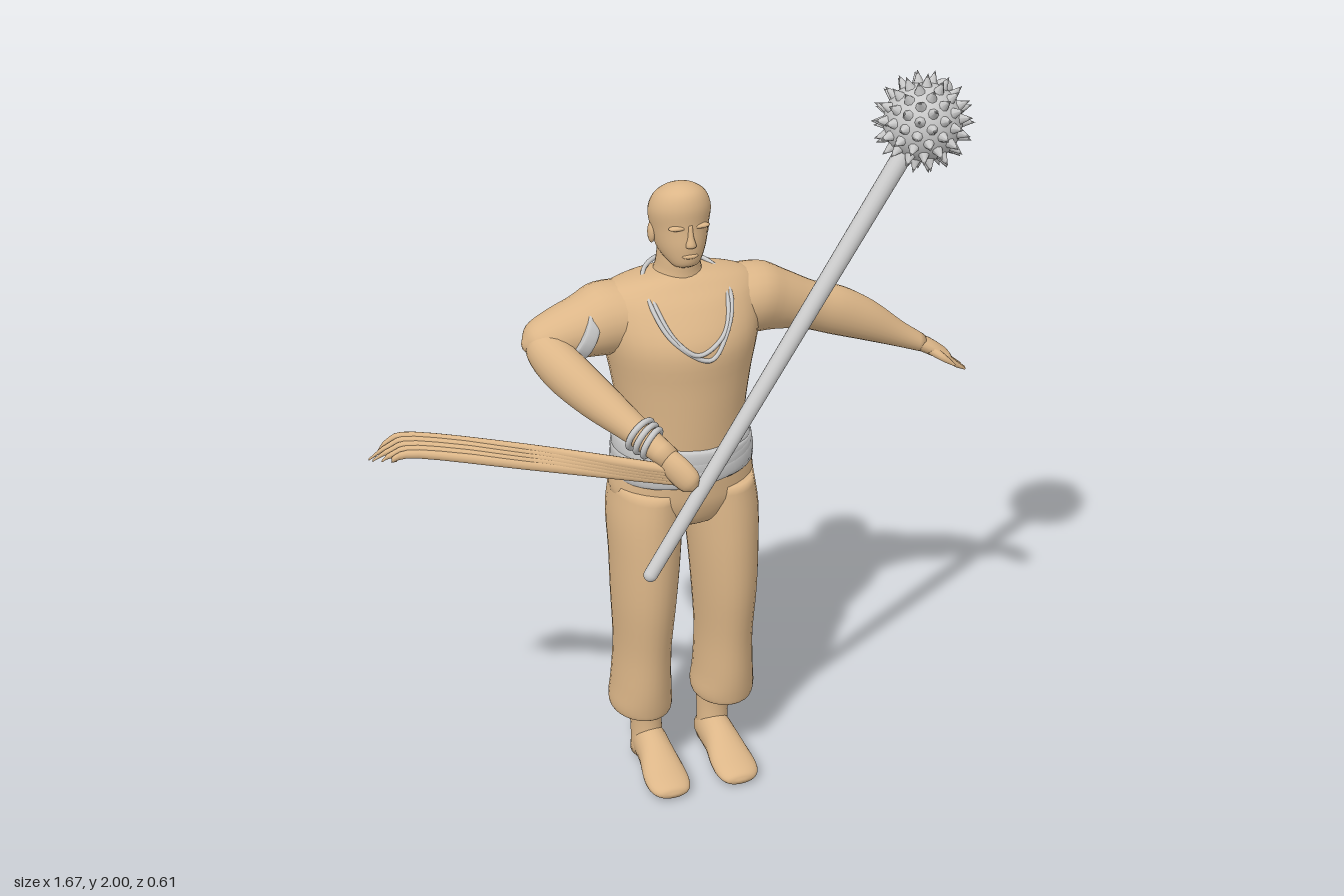
import * as THREE from 'three';

const skin = new THREE.MeshStandardMaterial({ color: 0xdcb688 });
skin.name = 'tan';
const grey = new THREE.MeshStandardMaterial({ color: 0xcacaca });
grey.name = 'pale grey';
const V = (x, y, z) => new THREE.Vector3(x, y, z);

// Smooth closed skin through elliptical rings [x, y, z, a, b];
// a is the half size along the hint axis, b the one across it.
function loft(rings, hint = V(0, 0, 1), seg = 24, sub = 4) {
  const mid = new THREE.CatmullRomCurve3(rings.map(r => V(r[0], r[1], r[2])), false, 'catmullrom');
  const size = new THREE.CatmullRomCurve3(rings.map(r => V(r[3], r[4], 0)), false, 'catmullrom');
  const W = mid.points.at(-1).clone().sub(mid.points[0]).normalize();
  const U = hint.clone().addScaledVector(W, -hint.dot(W)).normalize();
  const X = W.clone().cross(U);
  const pos = [], idx = [], n = (rings.length - 1) * sub;
  for (let i = 0; i <= n; i++) {
    const c = mid.getPoint(i / n), s = size.getPoint(i / n);
    for (let j = 0; j < seg; j++) {
      const t = j / seg * Math.PI * 2;
      const p = c.clone().addScaledVector(U, Math.max(s.x, 0.001) * Math.cos(t))
        .addScaledVector(X, Math.max(s.y, 0.001) * Math.sin(t));
      pos.push(p.x, p.y, p.z);
      if (i < n) {
        const k = (j + 1) % seg, a = i * seg + j, b = i * seg + k;
        idx.push(a, b, b + seg, a, b + seg, a + seg);
      }
    }
  }
  // End caps
  const first = mid.points[0], last = mid.points.at(-1), c0 = (n + 1) * seg;
  pos.push(first.x, first.y, first.z, last.x, last.y, last.z);
  for (let j = 0; j < seg; j++) {
    const k = (j + 1) % seg;
    idx.push(c0, k, j, c0 + 1, n * seg + j, n * seg + k);
  }
  const g = new THREE.BufferGeometry();
  g.setAttribute('position', new THREE.Float32BufferAttribute(pos, 3));
  g.setIndex(idx);
  g.computeVertexNormals();
  return g;
}

export function createModel() {
  const root = new THREE.Group();
  root.name = 'maceFighter';
  const add = (name, geo, mat = skin, parent = root) => {
    const m = new THREE.Mesh(geo, mat);
    m.name = name;
    parent.add(m);
    return m;
  };
  const blob = (name, x, y, z, sx, sy, sz) => {
    const m = add(name, new THREE.SphereGeometry(1, 14, 10));
    m.position.set(x, y, z);
    m.scale.set(sx, sy, sz);
    return m;
  };
  const up = V(0, 1, 0), front = V(0, 0, 1);

  // Torso, neck and head
  add('torso', loft([
    [0, 0.96, -0.125, 0.15, 0.165], [0, 1.08, -0.125, 0.157, 0.168], [0, 1.2, -0.13, 0.166, 0.186],
    [0, 1.31, -0.132, 0.169, 0.208], [0, 1.4, -0.15, 0.136, 0.218], [0, 1.445, -0.155, 0.1, 0.2],
    [0, 1.468, -0.155, 0.076, 0.14], [0, 1.48, -0.15, 0.05, 0.06]], front, 36));
  add('neck', loft([[0, 1.43, -0.155, 0.08, 0.085], [0, 1.48, -0.15, 0.066, 0.062],
    [0, 1.52, -0.145, 0.062, 0.056], [0, 1.57, -0.145, 0.06, 0.055]]));
  add('head', loft([
    [0, 1.505, -0.085, 0.012, 0.015], [0, 1.515, -0.09, 0.036, 0.036], [0, 1.55, -0.122, 0.075, 0.061],
    [0, 1.6, -0.135, 0.085, 0.073], [0, 1.65, -0.138, 0.089, 0.08], [0, 1.69, -0.138, 0.074, 0.066],
    [0, 1.713, -0.138, 0.04, 0.036], [0, 1.721, -0.138, 0.002, 0.002]], front, 28, 5));
  add('nose', loft([[0, 1.568, -0.053, 0.004, 0.006], [0, 1.576, -0.05, 0.014, 0.014],
    [0, 1.6, -0.054, 0.012, 0.008], [0, 1.63, -0.058, 0.008, 0.006]], front, 12));
  blob('mouth', 0, 1.546, -0.056, 0.022, 0.007, 0.01);
  for (const s of [1, -1]) {
    blob('ear', s * 0.073, 1.588, -0.145, 0.009, 0.028, 0.017);
    blob('brow', s * 0.03, 1.623, -0.064, 0.026, 0.007, 0.012);
  }

  // Trousers, ankles and feet
  add('trouserSeat', loft([[0, 0.775, -0.135, 0.06, 0.05], [0, 0.8, -0.135, 0.12, 0.13],
    [0, 0.86, -0.132, 0.146, 0.192], [0, 0.92, -0.13, 0.152, 0.195], [0, 1.0, -0.125, 0.152, 0.172]], front, 32));
  for (const s of [1, -1]) {
    add('trouserLeg', loft([
      [s * 0.12, 0.2, -0.135, 0.075, 0.06], [s * 0.12, 0.19, -0.135, 0.098, 0.078],
      [s * 0.12, 0.215, -0.135, 0.107, 0.086], [s * 0.12, 0.28, -0.128, 0.11, 0.08],
      [s * 0.118, 0.4, -0.12, 0.113, 0.076], [s * 0.116, 0.55, -0.112, 0.126, 0.085],
      [s * 0.112, 0.68, -0.113, 0.133, 0.092], [s * 0.108, 0.8, -0.125, 0.142, 0.098],
      [s * 0.1, 0.9, -0.13, 0.14, 0.092]], front, 28));
    add('ankle', loft([[s * 0.098, 0.03, -0.145, 0.055, 0.045], [s * 0.098, 0.1, -0.15, 0.05, 0.043],
      [s * 0.1, 0.17, -0.15, 0.051, 0.046], [s * 0.105, 0.26, -0.14, 0.06, 0.052]]));
    add('foot', loft([
      [s * 0.094, 0.04, -0.207, 0.012, 0.01], [s * 0.094, 0.046, -0.195, 0.042, 0.034],
      [s * 0.095, 0.06, -0.14, 0.06, 0.046], [s * 0.097, 0.053, -0.07, 0.053, 0.05],
      [s * 0.099, 0.034, 0, 0.034, 0.06], [s * 0.1, 0.025, 0.05, 0.025, 0.058],
      [s * 0.099, 0.02, 0.078, 0.017, 0.042], [s * 0.098, 0.018, 0.087, 0.004, 0.012]], up));
  }

  // Sash: a base wrap under two crossed bands
  add('sash', loft([[0, 0.935, -0.128, 0.157, 0.186], [0, 0.95, -0.128, 0.164, 0.194],
    [0, 1.02, -0.128, 0.163, 0.184], [0, 1.035, -0.128, 0.152, 0.172]], front, 36), grey);
  for (const [y, tilt, w] of [[0.962, 0.09, 0.193], [1.002, -0.08, 0.187], [0.985, 0.03, 0.19]]) {
    const band = add('sashBand', loft([[0, -0.027, 0, 0.155, w - 0.012], [0, -0.018, 0, 0.167, w],
      [0, 0.018, 0, 0.168, w], [0, 0.027, 0, 0.155, w - 0.012]], front, 36), grey);
    band.position.set(0, y, -0.128);
    band.rotation.z = tilt;
    band.rotation.x = tilt * 0.4;
  }

  // Outstretched left arm and hand
  add('leftArm', loft([
    [0.08, 1.365, -0.155, 0.105, 0.09], [0.2, 1.362, -0.155, 0.1, 0.098], [0.28, 1.342, -0.157, 0.077, 0.082],
    [0.37, 1.31, -0.16, 0.06, 0.066], [0.45, 1.282, -0.16, 0.056, 0.067], [0.54, 1.24, -0.157, 0.048, 0.056],
    [0.63, 1.188, -0.153, 0.036, 0.036], [0.7, 1.15, -0.15, 0.03, 0.024]], front));
  add('leftPalm', loft([[0.68, 1.16, -0.15, 0.027, 0.022], [0.72, 1.138, -0.147, 0.036, 0.021],
    [0.76, 1.112, -0.145, 0.041, 0.017], [0.775, 1.102, -0.145, 0.035, 0.011]], front, 16));
  for (let i = 0; i < 4; i++) {
    const z = -0.176 + i * 0.021, len = [0.04, 0.056, 0.058, 0.048][i];
    add('leftFinger', loft([[0.755, 1.115, z, 0.009, 0.01], [0.765 + len * 0.5, 1.105 - len * 0.4, z * 1.02, 0.008, 0.008],
      [0.77 + len, 1.1 - len * 0.7, z * 1.03, 0.003, 0.003]], front, 10));
  }
  add('leftThumb', loft([[0.715, 1.138, -0.13, 0.014, 0.014], [0.745, 1.118, -0.1, 0.01, 0.01],
    [0.775, 1.095, -0.09, 0.003, 0.003]], up, 10));

  // Bent right arm
  add('rightUpperArm', loft([
    [-0.08, 1.365, -0.155, 0.105, 0.09], [-0.2, 1.365, -0.155, 0.1, 0.096], [-0.27, 1.35, -0.155, 0.086, 0.08],
    [-0.34, 1.335, -0.155, 0.074, 0.066], [-0.395, 1.325, -0.15, 0.056, 0.048], [-0.422, 1.322, -0.148, 0.01, 0.01]], front));
  add('rightForearm', loft([
    [-0.385, 1.345, -0.17, 0.015, 0.015], [-0.375, 1.325, -0.14, 0.05, 0.05], [-0.34, 1.28, -0.07, 0.062, 0.056],
    [-0.28, 1.225, 0.02, 0.055, 0.052], [-0.21, 1.17, 0.12, 0.038, 0.038], [-0.15, 1.12, 0.2, 0.03, 0.03]], up));
  add('rightPalm', loft([[-0.165, 1.13, 0.18, 0.03, 0.026], [-0.135, 1.095, 0.215, 0.038, 0.027],
    [-0.11, 1.065, 0.24, 0.034, 0.024], [-0.1, 1.05, 0.25, 0.012, 0.01]], up, 16));

  // Long thin fingers drawn far out from the right hand
  for (let i = 0; i < 5; i++) {
    const f = i / 4, y = 1.1 - 0.035 * f;
    add('longFinger', loft([
      [-0.11, y - 0.01, 0.225, 0.008, 0.008], [-0.2, y, 0.185 - 0.01 * f, 0.015, 0.012],
      [-0.48, y + 0.018, 0.01 + 0.025 * f, 0.014, 0.01],
      [-0.72, 1.122 - 0.025 * f, -0.142 + 0.055 * f, 0.012, 0.01],
      [-0.785, 1.105 - 0.02 * f, -0.166 + 0.06 * f, 0.009, 0.009],
      [[-0.815, -0.835, -0.83, -0.81, -0.775][i], 1.063 + 0.004 * i, -0.178 + 0.018 * i, 0.003, 0.003]], up, 10));
  }

  // Arm band and bracelets
  const armBand = add('armBand', loft([[0, -0.017, 0, 0.09, 0.072], [0, -0.015, 0, 0.1, 0.082],
    [0, 0.015, 0, 0.1, 0.082], [0, 0.017, 0, 0.09, 0.072]], front), grey);
  armBand.position.set(-0.272, 1.347, -0.153);
  armBand.rotation.z = 1.1;
  const wristAxis = V(0.07, -0.053, 0.09).normalize();
  for (let i = 0; i < 3; i++) {
    const ring = add('bracelet', new THREE.TorusGeometry(0.043 - i * 0.002, 0.008, 10, 28), grey);
    ring.position.set(-0.203, 1.165, 0.128).addScaledVector(wristAxis, i * 0.019);
    ring.quaternion.setFromUnitVectors(front, wristAxis.clone().add(V(0.1 * (i - 1), 0.06, 0)).normalize());
  }

  // Two necklace strands
  for (const [k, low, dx] of [[1, 1.293, 0.02], [0.9, 1.312, -0.012]]) {
    const half = [[0.088, 1.478, -0.165], [0.108 * k, 1.425, -0.048], [0.072 * k, 1.35, 0.018]];
    const pts = [V(0, 1.49, -0.222), ...half.map(p => V(...p)), V(dx, low, 0.041),
      ...half.reverse().map(p => V(-p[0], p[1], p[2]))];
    add('necklace', new THREE.TubeGeometry(new THREE.CatmullRomCurve3(pts, true), 80, 0.006, 8, true), grey);
  }

  // Spiked mace
  const foot = V(-0.235, 0.85, 0.29), ball = V(0.578, 1.873, 0.062);
  const mace = new THREE.Group();
  mace.name = 'mace';
  mace.position.copy(foot);
  const axis = ball.clone().sub(foot), L = axis.length();
  mace.quaternion.setFromUnitVectors(up, axis.normalize());
  root.add(mace);
  add('maceHandle', new THREE.CylinderGeometry(0.026, 0.018, L, 18), grey, mace).position.y = L / 2;
  add('handleEnd', new THREE.SphereGeometry(0.018, 16, 10), grey, mace);
  add('maceBall', new THREE.SphereGeometry(0.1, 28, 20), grey, mace).position.y = L;
  add('maceTip', new THREE.SphereGeometry(0.024, 16, 10), grey, mace).position.y = L + 0.098;
  const spike = new THREE.ConeGeometry(0.017, 0.04, 8);
  for (let r = 1; r < 9; r++) {
    const phi = r / 9 * Math.PI, count = Math.round(17 * Math.sin(phi));
    for (let j = 0; j < count; j++) {
      const d = new THREE.Vector3().setFromSphericalCoords(1, phi, (j + (r % 2) / 2) / count * Math.PI * 2);
      const m = add('spike', spike, grey, mace);
      m.position.copy(d).multiplyScalar(0.111).add(V(0, L, 0));
      m.quaternion.setFromUnitVectors(up, d);
    }
  }
  return root;
}
